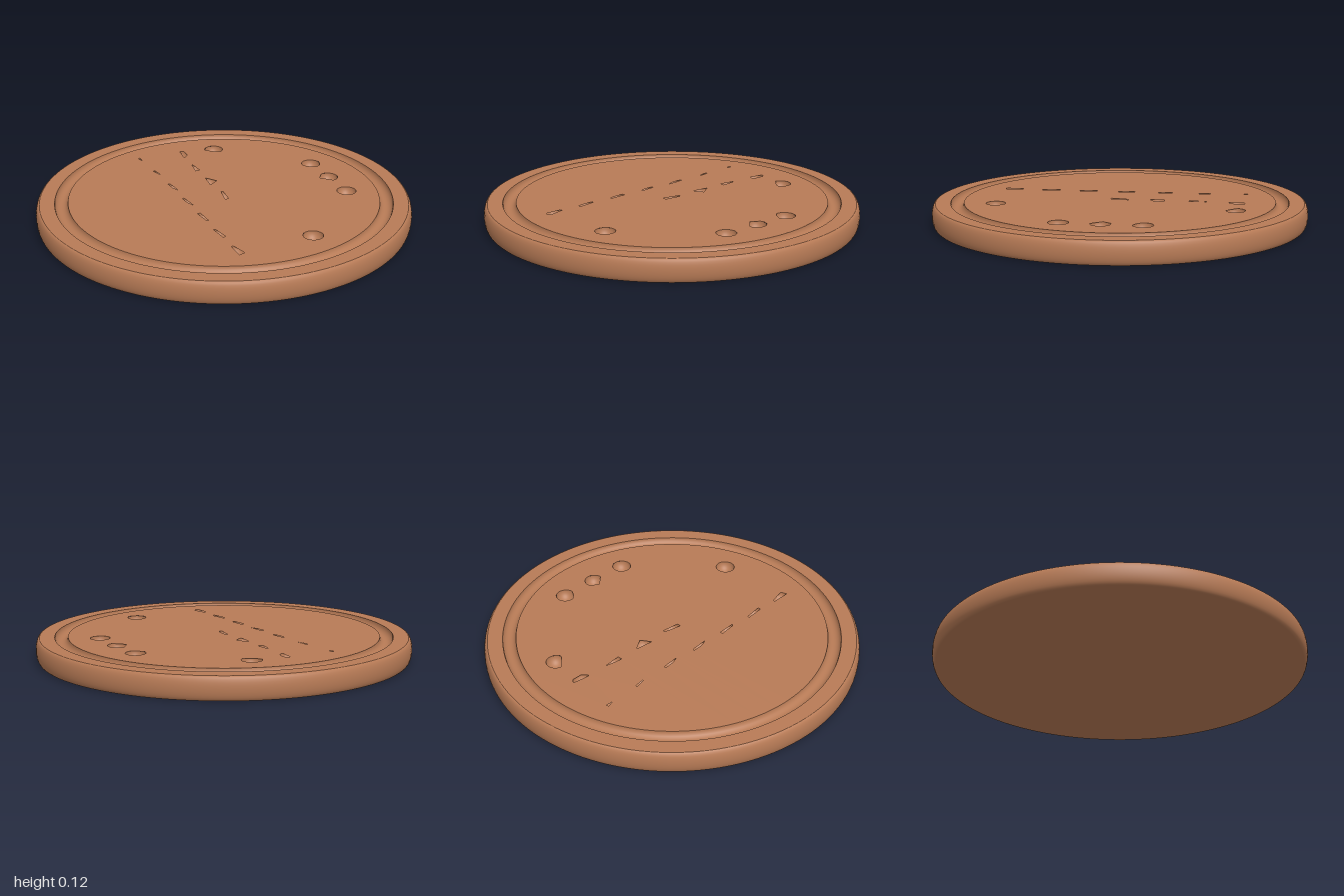
import * as THREE from 'three';

const TOP = 0.12, BOWL_R = 0.052, STEP = 0.21;

// Points on an arc, angles in degrees
function arc(cx, cy, rx, ry, from, to, n) {
  return Array.from({ length: n + 1 }, (_, i) => {
    const a = THREE.MathUtils.degToRad(from + (to - from) * i / n);
    return new THREE.Vector2(cx + rx * Math.cos(a), cy + ry * Math.sin(a));
  });
}

// Each pit: grid column and row, then its opening as x, z offsets in hundredths
const chips = [
  [-1, -3, [-3.3, -4, -2.1, -4.7, -2.1, -0.5]],
  [-1, -2, [-2.1, -4.7, -1, -4.8, 0, 2.4]],
  [-1, -1, [-1, -5, 0, -5, 1, 4.8, -0.5, 1]],
  [-1, 0, [-1, -5, 0, -5, 1, 4.8, -0.5, 1]],
  [-1, 1, [-1, -5, 0.5, -5, 1, 4.8, 0, 4]],
  [-1, 2, [-1, -5, 0, -5, 1.5, 4.8, 0, 4.8]],
  [-1, 3, [-0.5, -5, 0.5, -5, 2.7, 3.8, -0.5, 5]],
  [0, -3, [1.6, -4.8, 3.7, -3.5, 3.7, 2, 1, 4.8, 0.5, 4.3]],
  [0, -2, [0.5, -4.7, 1.6, 4.7, -1, 4.8]],
  [0, -1, [0, -4.8, 4.2, 1.4, -1, 4.9]],
  [0, 0, [0.5, -5, 1.6, -4.9, 0.5, 4.9, -1.5, 4.8]],
];

// Round pits: column, row, arc start and end, optional extra corner
const rounds = [
  [1, -3, -170, 70, [-1, 3]],
  [3, -1, -190, 85, [-3, 3.2]],
  [3, 0, -110, 85, [-4.9, -0.5]],
  [3, 1, 0, 352],
  [1, 3, 0, 352],
];

export function createModel() {
  const group = new THREE.Group();
  group.name = 'pegBoard';
  const wood = new THREE.MeshStandardMaterial({ color: 0xb87b56 });
  wood.name = 'warm wood';

  function add(name, geometry, x = 0, y = 0, z = 0) {
    const mesh = new THREE.Mesh(geometry, wood);
    mesh.name = name;
    mesh.position.set(x, y, z);
    group.add(mesh);
  }
  const turned = (points, sides = 128) => new THREE.LatheGeometry(points, sides);
  const v = (x, y) => new THREE.Vector2(x, y);

  // Turned body: flat base, bulging edge, flat border and round groove
  add('base', turned([v(0, 0), v(0.98, 0)]));
  add('edge', turned(arc(0.98, TOP / 2, 0.02, TOP / 2, -90, 90, 12)));
  add('border', turned([v(0.98, TOP), v(0.9, TOP)]));
  add('groove', turned(arc(0.865, TOP, 0.035, 0.035, 0, -180, 12)));

  // Playing surface with pit openings; shape y is -z
  const surface = new THREE.Shape(arc(0, 0, 0.83, 0.83, 0, 360 * 127 / 128, 127));
  const bowl = turned(arc(0, 0, BOWL_R, BOWL_R, 0, -90, 10), 32);

  function pit(name, col, row, points) {
    const x = col * STEP, z = row * STEP;
    surface.holes.push(new THREE.Path(points.map(p => v(x + p.x, -(z + p.y)))));
    add(name, bowl, x, TOP, z);
  }
  for (const [col, row, c] of chips) {
    const points = [];
    for (let i = 0; i < c.length; i += 2) points.push(v(c[i] / 100, c[i + 1] / 100));
    pit('partlyCoveredPit', col, row, points);
  }
  for (const [col, row, from, to, corner] of rounds) {
    const points = arc(0, 0, BOWL_R, BOWL_R, from, to, 40);
    if (corner) points.push(v(corner[0] / 100, corner[1] / 100));
    pit('roundPit', col, row, points);
  }
  add('playingSurface', new THREE.ShapeGeometry(surface).rotateX(-Math.PI / 2), 0, TOP, 0);

  return group;
}
